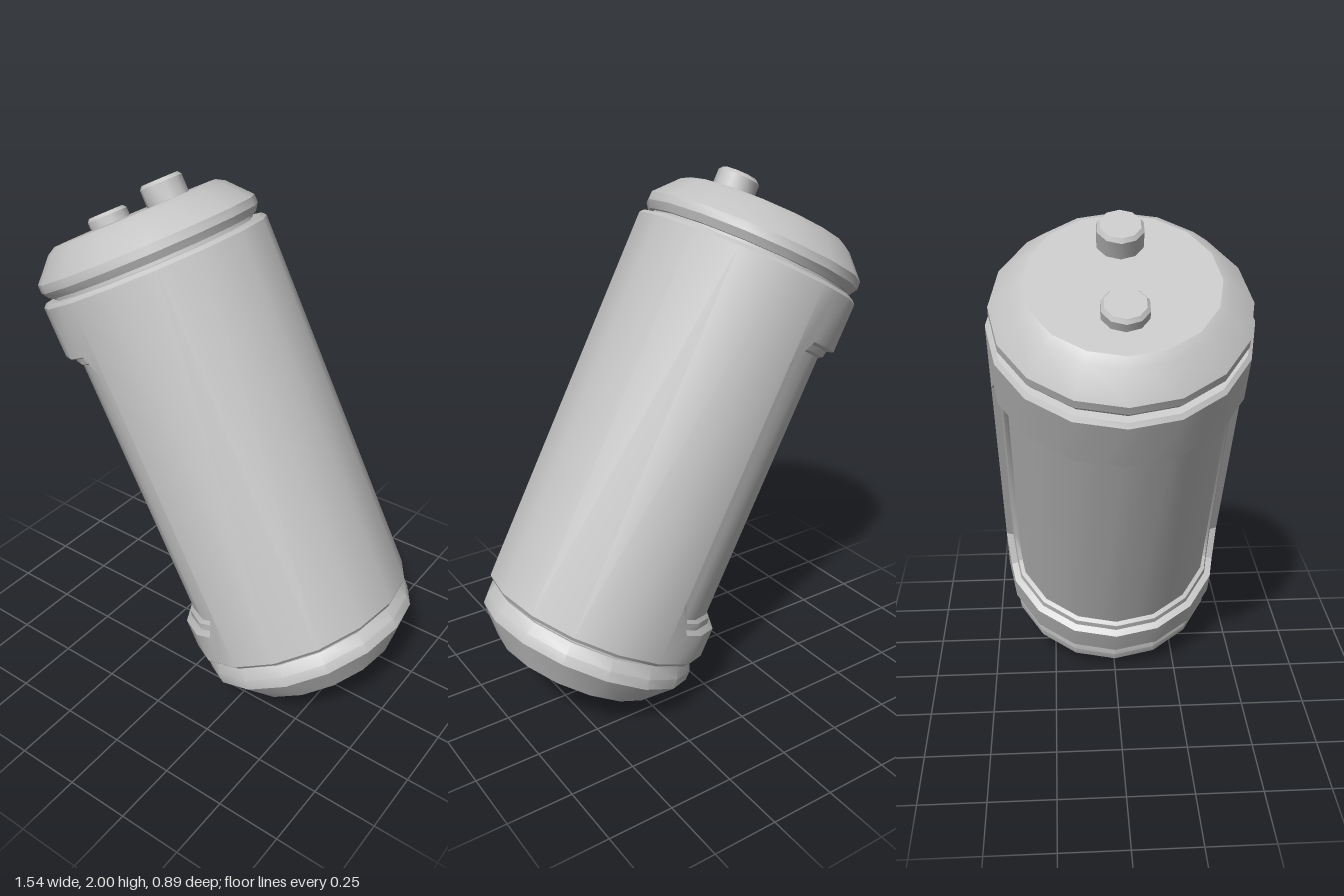
import * as THREE from 'three';
import { toCreasedNormals } from 'three/addons/utils/BufferGeometryUtils.js';

const SIDES = 16;
const STEP = (Math.PI * 2) / SIDES;
const R = 0.444; // body radius
const BODY_LOW = 0.147, BODY_HIGH = 1.618;
const PANEL_INSET = 0.042, PANEL_R = 0.398;

const metal = new THREE.MeshStandardMaterial({ color: 0xc4c4c4 });
metal.name = 'light grey metal';

function part(name, geometry, parent, crease = 0.52) {
  const mesh = new THREE.Mesh(toCreasedNormals(geometry, crease), metal);
  mesh.name = name;
  parent.add(mesh);
  return mesh;
}

// Turned part from [radius, height] pairs, bottom to top
function turned(name, profile, parent, sides = SIDES, crease = 0.52) {
  const points = profile.map(([r, y]) => new THREE.Vector2(r, y));
  return part(name, new THREE.LatheGeometry(points, sides), parent, crease);
}

// Point on the flat-sided cylinder; angle 0 is the -x side
function onWall([angle, y], radius) {
  const a = ((angle % STEP) + STEP) % STEP;
  const r = (radius * Math.cos(STEP / 2)) / Math.cos(a - STEP / 2);
  return [-r * Math.cos(angle), y, r * Math.sin(angle)];
}

function quad(out, a, b, c, d) {
  out.push(...a, ...b, ...c, ...a, ...c, ...d);
}

function fromPositions(positions) {
  const g = new THREE.BufferGeometry();
  g.setAttribute('position', new THREE.Float32BufferAttribute(positions, 3));
  return g;
}

// Columns of the window with clipped corners, shrunk by an inset
function windowColumns(inset) {
  const columns = [];
  for (let i = -8; i <= 8; i++) {
    const n = Math.abs(i);
    const turn = n === 8 ? inset / R : n === 7 ? (0.4 * inset) / R : 0;
    const angle = (i * STEP) / 2 - Math.sign(i) * turn;
    const end = n === 8;
    columns.push({
      angle,
      low: end ? 0.375 + 0.4 * inset : 0.265 + inset,
      high: end ? 1.315 - 0.4 * inset : 1.425 - inset,
    });
  }
  return columns;
}

function windowLoop(inset, radius) {
  const cols = windowColumns(inset);
  return [
    ...cols.map((c) => onWall([c.angle, c.low], radius)),
    ...cols.reverse().map((c) => onWall([c.angle, c.high], radius)),
  ];
}

// Fill between two heights for neighbouring columns
function fill(out, a, b, lowA, lowB, highA, highB, radius) {
  quad(out, onWall([a, lowA], radius), onWall([b, lowB], radius),
    onWall([b, highB], radius), onWall([a, highA], radius));
}

// Outer sleeve with the window cut out of its -x half
function sleeveGeometry() {
  const out = [];
  const cols = windowColumns(0);
  for (let i = 0; i < cols.length - 1; i++) {
    const a = cols[i], b = cols[i + 1];
    fill(out, a.angle, b.angle, BODY_LOW, BODY_LOW, a.low, b.low, R);
    fill(out, a.angle, b.angle, a.high, b.high, BODY_HIGH, BODY_HIGH, R);
  }
  for (let i = 4; i < 12; i++) {
    const a = i * STEP, b = a + STEP;
    fill(out, a, b, BODY_LOW, BODY_LOW, BODY_HIGH, BODY_HIGH, R);
  }
  return fromPositions(out);
}

// Stepped border leading down to the recessed panel
function borderGeometry() {
  const out = [];
  const loops = [[0, R], [0.01, 0.418], [0.034, 0.414], [PANEL_INSET, PANEL_R]]
    .map(([inset, radius]) => windowLoop(inset, radius));
  for (let k = 0; k < loops.length - 1; k++) {
    const a = loops[k], b = loops[k + 1];
    for (let i = 0; i < a.length; i++) {
      const j = (i + 1) % a.length;
      quad(out, a[i], a[j], b[j], b[i]);
    }
  }
  return fromPositions(out);
}

function panelGeometry() {
  const out = [];
  const cols = windowColumns(PANEL_INSET);
  for (let i = 0; i < cols.length - 1; i++) {
    const a = cols[i], b = cols[i + 1];
    fill(out, a.angle, b.angle, a.low, b.low, a.high, b.high, PANEL_R);
  }
  return fromPositions(out);
}

export function createModel() {
  const model = new THREE.Group();
  model.name = 'canister';

  // Everything is built upright, then leaned toward -x
  const body = new THREE.Group();
  body.name = 'tiltedBody';
  body.position.set(0.412, 0.219, 0);
  body.rotation.z = 0.488;
  model.add(body);

  part('sleeve', sleeveGeometry(), body);
  part('windowBorder', borderGeometry(), body);
  part('recessedPanel', panelGeometry(), body);

  // Bevelled sleeve rims and the grooves beside them
  turned('lowerRim', [[0.39, 0.132], [0.43, 0.132], [R, BODY_LOW]], body);
  turned('upperRim', [[R, BODY_HIGH], [0.43, 1.632], [0.39, 1.632]], body);
  turned('lowerGroove', [[0.395, 0.1], [0.395, 0.15]], body);
  turned('upperGroove', [[0.395, 1.61], [0.395, 1.67]], body);

  // End caps
  turned('bottomCap', [
    [0, -0.07], [0.328, -0.07], [0.428, 0.036], [0.428, 0.075], [0.408, 0.117], [0.39, 0.117],
  ], body);
  turned('topCap', [
    [0.39, 1.645], [0.413, 1.645], [0.431, 1.672], [0.43, 1.703],
    [0.35, 1.788], [0.318, 1.806], [0, 1.806],
  ], body);

  // Terminals on the top cap
  for (const [name, x, top] of [['shortTerminal', -0.14, 1.85], ['tallTerminal', 0.18, 1.883]]) {
    const terminal = turned(name, [
      [0.08, 1.79], [0.08, top - 0.013], [0.069, top], [0, top],
    ], body, 10, 0.66);
    terminal.position.x = x;
    terminal.rotation.y = Math.PI / 2;
  }

  return model;
}
